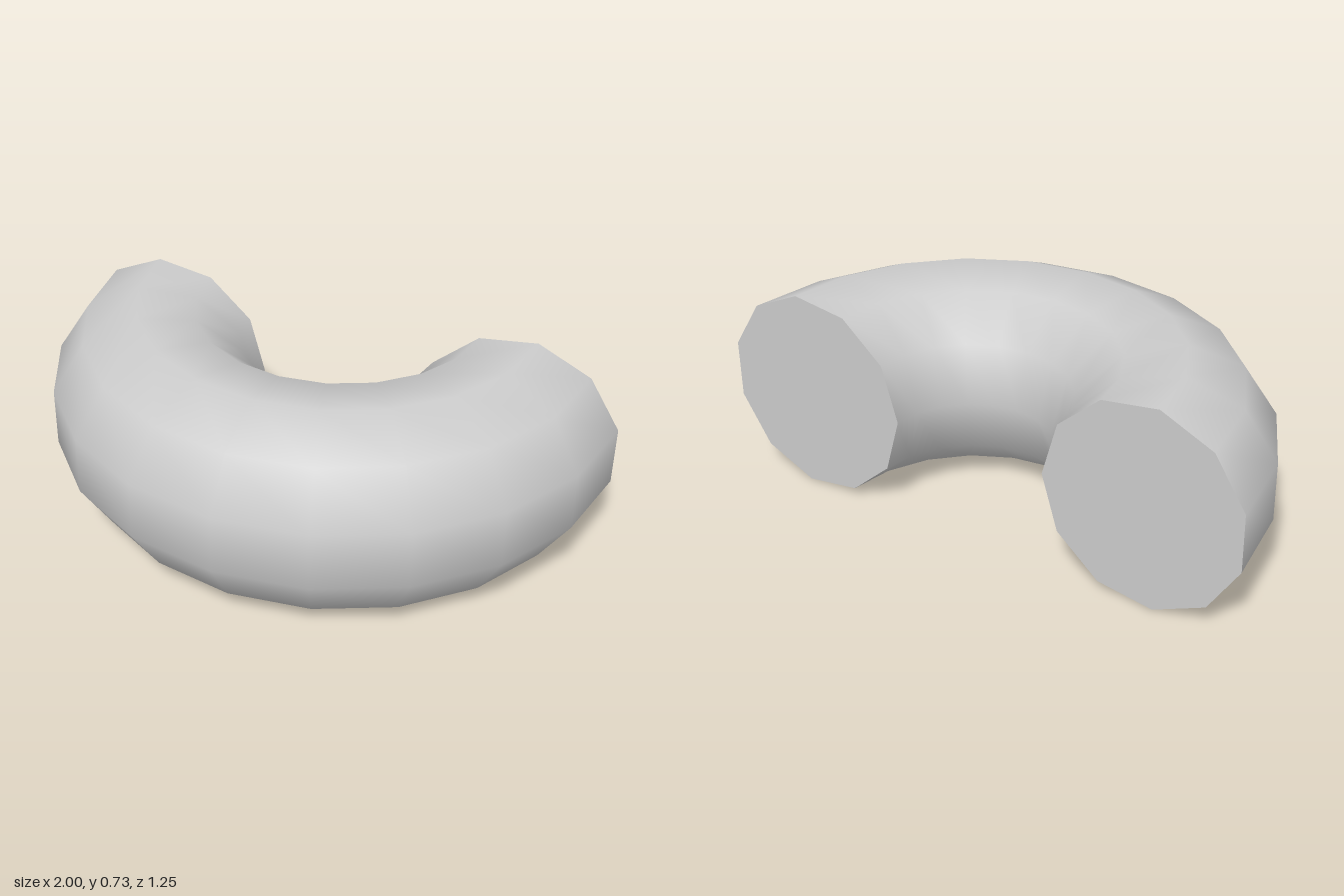
import * as THREE from 'three';

const RING = 0.662;        // centre line radius of the bend
const TUBE = 0.3688;       // radius of the eleven-sided section
const SIDES = 11;
const STEPS = 10;          // segments along the half turn
const START = THREE.MathUtils.degToRad(-76.44);

// Half ring swept from an eleven-sided section with one corner facing inwards
function bendGeometry() {
  const profile = [];
  for (let i = 0; i <= SIDES; i++) {
    const a = Math.PI + (i / SIDES) * Math.PI * 2;
    profile.push(new THREE.Vector2(RING + TUBE * Math.cos(a), TUBE * Math.sin(a)));
  }
  const geometry = new THREE.LatheGeometry(profile, STEPS, START, Math.PI);

  // Smooth normals pointing away from the centre line, without a seam
  const { position, normal } = geometry.attributes;
  const p = new THREE.Vector3();
  const centre = new THREE.Vector3();
  for (let i = 0; i < position.count; i++) {
    p.fromBufferAttribute(position, i);
    centre.set(p.x, 0, p.z).setLength(RING);
    p.sub(centre).normalize();
    normal.setXYZ(i, p.x, p.y, p.z);
  }
  return geometry;
}

// Flat end disc, turned to close the bend at the given angle
function capGeometry(phi, atEnd) {
  const disc = new THREE.CircleGeometry(TUBE, SIDES, atEnd ? 0 : Math.PI);
  if (atEnd) disc.rotateY(Math.PI);
  return disc.translate(RING, 0, 0).rotateY(phi - Math.PI / 2);
}

export function createModel() {
  const group = new THREE.Group();
  group.name = 'halfRing';
  const material = new THREE.MeshStandardMaterial({ color: 0xcccccc });

  const add = (name, geometry) => {
    const mesh = new THREE.Mesh(geometry, material);
    mesh.name = name;
    mesh.position.set(-0.0126, 0.365, -0.3873);
    group.add(mesh);
  };

  add('bentTube', bendGeometry());
  add('rightEndCap', capGeometry(START, false));
  add('leftEndCap', capGeometry(START + Math.PI, true));
  return group;
}
